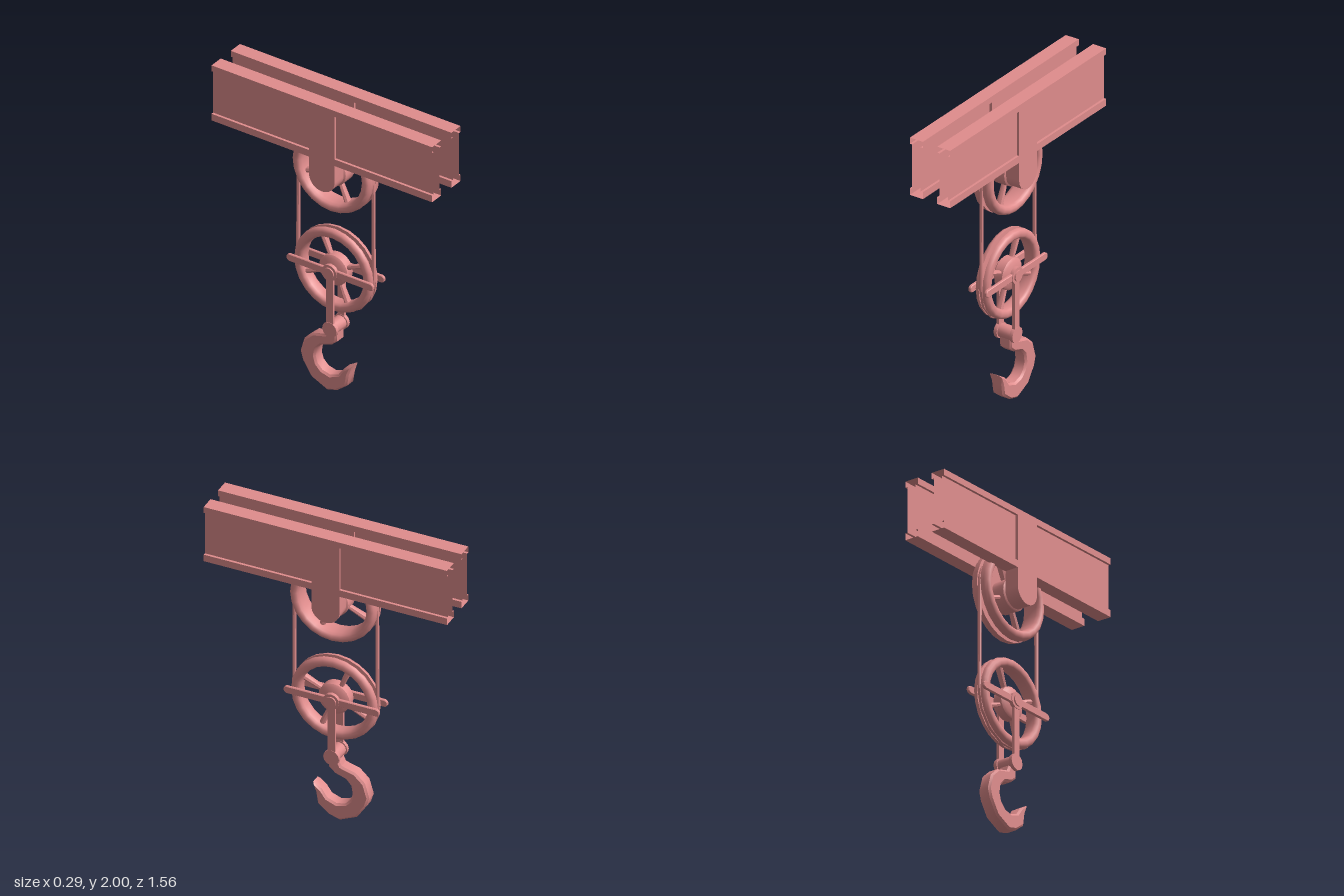
import * as THREE from 'three';
import { toCreasedNormals } from 'three/addons/utils/BufferGeometryUtils.js';

const material = new THREE.MeshStandardMaterial({ color: 0xe08c8c });
const openMaterial = new THREE.MeshStandardMaterial({ color: 0xe08c8c, side: THREE.DoubleSide });

function add(parent, name, geometry, x = 0, y = 0, z = 0, mat = material) {
  const mesh = new THREE.Mesh(toCreasedNormals(geometry, 0.75), mat);
  mesh.name = name;
  mesh.position.set(x, y, z);
  parent.add(mesh);
  return mesh;
}

// Extrude a side profile drawn in (z, y), centred across x
function sideExtrude(shape, width, bevel = 0) {
  const g = new THREE.ExtrudeGeometry(shape, {
    depth: width - 2 * bevel, curveSegments: 10, bevelEnabled: bevel > 0,
    bevelThickness: bevel, bevelSize: bevel, bevelOffset: -bevel, bevelSegments: 1,
  });
  return g.translate(0, 0, bevel - width / 2).rotateY(-Math.PI / 2);
}

const toPoints = (pts) => pts.map(([a, b]) => new THREE.Vector2(a, b));

// Cylinder lying along x
const xCylinder = (r, width, sides = 16) =>
  new THREE.CylinderGeometry(r, r, width, sides).rotateZ(Math.PI / 2);

// Solid turned around the x axis
const xLathe = (pts, sides) =>
  new THREE.LatheGeometry(toPoints(pts), sides).rotateZ(Math.PI / 2);

// Bar with rounded ends, lying along z
function roundedBar(half, r) {
  const s = new THREE.Shape();
  s.absarc(half - r, 0, r, -Math.PI / 2, Math.PI / 2);
  s.absarc(r - half, 0, r, Math.PI / 2, Math.PI * 1.5);
  return s;
}

// I-section beam with open ends, and the hanger bracket below it
function makeBeam(side) {
  const beam = new THREE.Group();
  beam.name = side > 0 ? 'leftBeam' : 'rightBeam';
  beam.position.x = side * 0.097;

  const F = 0.046, W = 0.03;
  const section = new THREE.Shape(toPoints([
    [-F, 1.625], [F, 1.625], [F, 1.67], [W, 1.67], [W, 1.96], [F, 1.96],
    [F, 2], [-F, 2], [-F, 1.96], [-W, 1.96], [-W, 1.67], [-F, 1.67],
  ]));
  const full = new THREE.ExtrudeGeometry(section, { depth: 1.56, bevelEnabled: false });
  const { start, count } = full.groups[1]; // side walls only
  const walls = new THREE.BufferGeometry();
  walls.setAttribute('position', new THREE.BufferAttribute(
    full.attributes.position.array.slice(start * 3, (start + count) * 3), 3));
  add(beam, 'beamWalls', walls, 0, 0, -0.78, openMaterial);

  // Raised plates across both recesses
  for (const s of [-1, 1])
    add(beam, 'beamPlate', new THREE.BoxGeometry(F - W, 0.29, 0.18), s * (F + W) / 2, 1.815, 0);

  const hanger = new THREE.Shape();
  hanger.moveTo(0.09, 1.625);
  hanger.lineTo(-0.09, 1.625);
  hanger.lineTo(-0.09, 1.51);
  hanger.absarc(0, 1.51, 0.09, Math.PI, Math.PI * 2);
  add(beam, 'hanger', sideExtrude(hanger, 2 * F));
  return beam;
}

// Grooved pulley wheel with four spokes
function makeWheel(name, y, half) {
  const wheel = new THREE.Group();
  wheel.name = name;
  wheel.position.y = y;
  add(wheel, 'rim', xLathe([
    [0.216, -half * 0.55], [0.222, -half * 0.85], [0.234, -half], [0.254, -half],
    [0.268, -half * 0.85], [0.275, -half * 0.55], [0.275, -0.013], [0.218, -0.009],
    [0.218, 0.009], [0.275, 0.013], [0.275, half * 0.55], [0.268, half * 0.85],
    [0.254, half], [0.234, half], [0.222, half * 0.85], [0.216, half * 0.55],
    [0.216, -half * 0.55],
  ], 24));
  const h = half * 0.85;
  add(wheel, 'hub', xLathe([
    [0, -h], [0.085, -h], [0.1, -h + 0.012], [0.1, h - 0.012], [0.085, h], [0, h],
  ], 20));
  for (let i = 0; i < 4; i++) {
    const spoke = new THREE.CylinderGeometry(0.019, 0.014, 0.15, 8);
    spoke.scale(1.3, 1, 1).translate(0, 0.155, 0);
    add(wheel, 'spoke', spoke).rotation.x = -0.4 + i * Math.PI / 2;
  }
  return wheel;
}

// Rope running over the upper wheel and under the lower one
function makeRope() {
  const path = new THREE.CurvePath();
  const pts = [];
  const addArc = (y, rise, reach, from, n) => {
    for (let i = 0; i <= n; i++) {
      const a = from + Math.PI * i / n;
      pts.push(new THREE.Vector3(0, y + rise * Math.sin(a), reach * Math.cos(a)));
    }
  };
  addArc(1.51, 0.21, 0.264, 0, 14);
  addArc(0.825, 0.272, 0.268, Math.PI, 7);
  pts.forEach((p, i) => path.add(new THREE.LineCurve3(p, pts[(i + 1) % pts.length])));
  return new THREE.TubeGeometry(path, 160, 0.012, 8, true);
}

export function createModel() {
  const model = new THREE.Group();
  model.name = 'hookBlock';
  for (const side of [-1, 1]) model.add(makeBeam(side));

  model.add(makeWheel('upperWheel', 1.51, 0.065));
  model.add(makeWheel('lowerWheel', 0.825, 0.046));
  add(model, 'upperAxle', xCylinder(0.04, 0.16), 0, 1.51, 0);
  add(model, 'rope', makeRope());

  // Cross bars and hook arms on both sides of the lower wheel
  for (const s of [-1, 1]) {
    add(model, 'crossBar', sideExtrude(roundedBar(0.307, 0.024), 0.02, 0.004), s * 0.056, 0.827, 0);
    add(model, 'arm', new THREE.BoxGeometry(0.018, 0.4, 0.048), s * 0.056, 0.635, 0);
    add(model, 'axleBoss', xCylinder(0.052, 0.022), s * 0.059, 0.827, 0);
    add(model, 'armEye', xCylinder(0.051, 0.022, 12), s * 0.056, 0.437, 0);
  }
  add(model, 'lowerAxle', xCylinder(0.035, 0.158), 0, 0.827, 0);
  add(model, 'hookPin', xCylinder(0.043, 0.12, 12), 0, 0.437, 0);

  // Hook
  const hook = new THREE.Shape(toPoints([
    [0.03, 0.42], [0.03, 0.35], [-0.01, 0.315], [-0.08, 0.292], [-0.113, 0.255],
    [-0.122, 0.2], [-0.108, 0.155], [-0.075, 0.122], [-0.02, 0.108], [0.04, 0.13],
    [0.075, 0.18], [0.132, 0.215], [0.112, 0.15], [0.1, 0.075], [0.03, 0.02],
    [-0.04, 0], [-0.15, 0.05], [-0.21, 0.14], [-0.228, 0.2], [-0.2, 0.295],
    [-0.14, 0.35], [-0.05, 0.375], [-0.03, 0.42],
  ].reverse()));
  add(model, 'hook', sideExtrude(hook, 0.085, 0.012));
  return model;
}
